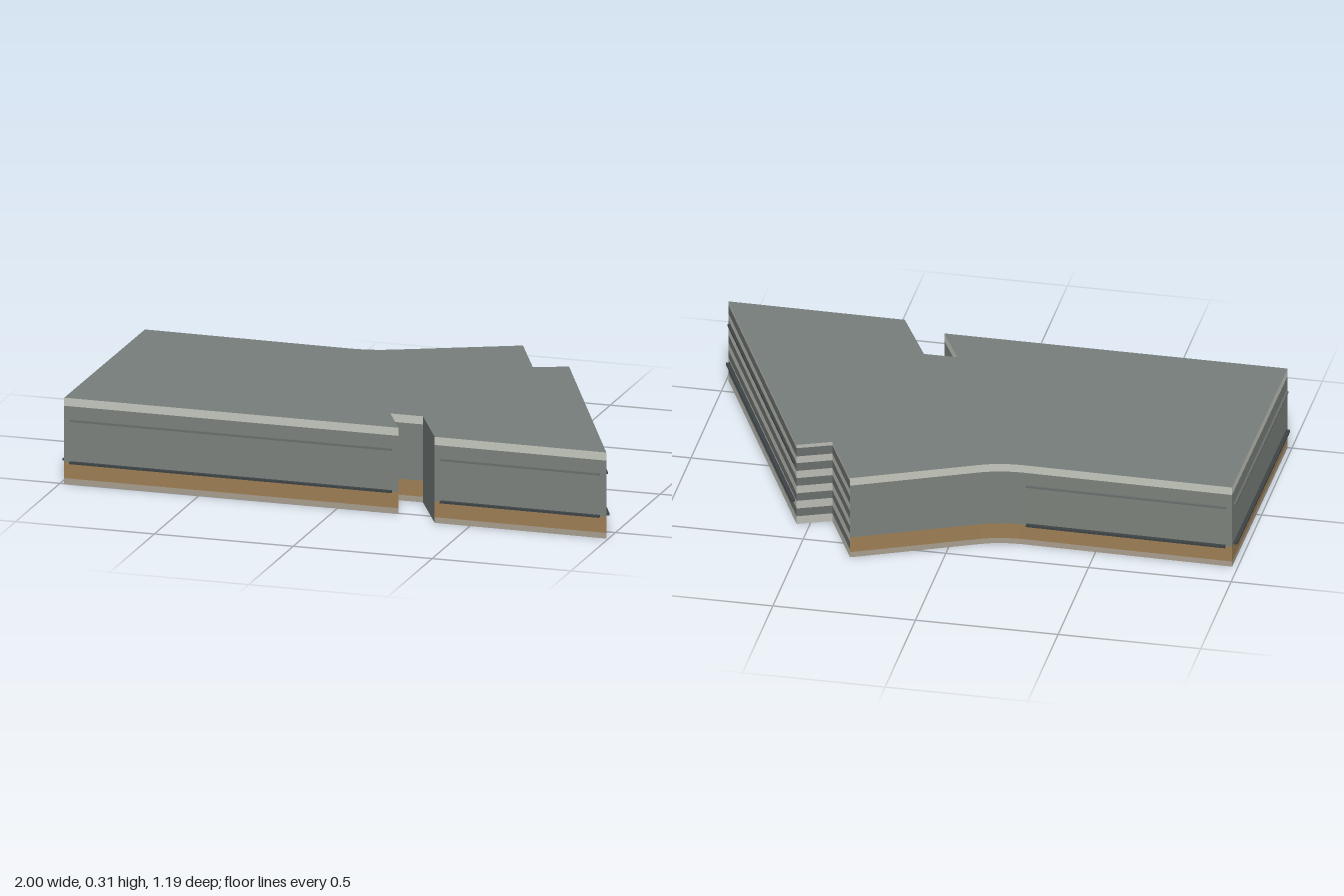
import * as THREE from 'three';

const mat = (name, color, side = THREE.FrontSide) => {
  const m = new THREE.MeshStandardMaterial({ color, side });
  m.name = name;
  return m;
};

export function createModel() {
  const roofGrey = mat('roof grey', 0x767c79);
  const wallGrey = mat('wall grey', 0x7b807b);
  const darkGrey = mat('dark grey', 0x686d6b);
  const paleStone = mat('pale stone', 0xc3c6bc);
  const stripePale = mat('stripe pale', 0xb8bab1);
  const plinthStone = mat('plinth stone', 0xa79d8e);
  const timber = mat('timber', 0x9c7d54);
  const ledgeDark = mat('ledge dark', 0x3c4245);

  const group = new THREE.Group();
  const H = 0.307;

  // Footprint as [x, z, style of the wall starting here], anticlockwise from above
  const plan = [
    [-0.985, 0.5, 'plain'], [0.22, 0.506, 'plain'], [0.14, 0.345, 'plain'],
    [0.257, 0.345, 'dark'], [0.373, 0.575, 'plain'], [0.993, 0.581, 'striped'],
    [0.545, -0.397, 'striped'], [0.43, -0.35, 'striped'], [0.315, -0.597, 'plain'],
    [-0.1, -0.409, 'plain'], [-0.14, -0.394, 'plain'], [-0.185, -0.384, 'plain'],
    [-0.235, -0.38, 'plain'], [-0.98, -0.391, 'plain'],
  ];

  // Horizontal wall bands as [bottom, top, material]
  const bands = {
    plain: [[0, 0.02, plinthStone], [0.02, 0.077, timber], [0.077, 0.278, wallGrey], [0.278, H, paleStone]],
    dark: [[0, H, darkGrey]],
    striped: [],
  };
  const levels = [0, 0.03, 0.06, 0.09, 0.119, 0.148, 0.178, 0.206, 0.236, 0.262, 0.294, H];
  for (let i = 0; i < levels.length - 1; i++) {
    bands.striped.push([levels[i], levels[i + 1], i % 2 ? darkGrey : stripePale]);
  }

  const wallFrame = (i) => {
    const [x0, z0] = plan[i];
    const [x1, z1] = plan[(i + 1) % plan.length];
    const g = new THREE.Group();
    g.position.set((x0 + x1) / 2, 0, (z0 + z1) / 2);
    g.rotation.y = Math.atan2(z0 - z1, x1 - x0);
    g.userData.length = Math.hypot(x1 - x0, z1 - z0);
    group.add(g);
    return g;
  };

  const walls = plan.map(([, , style], i) => {
    const wall = wallFrame(i);
    wall.name = style + 'Wall' + i;
    for (const [y0, y1, material] of bands[style]) {
      const band = new THREE.Mesh(new THREE.PlaneGeometry(wall.userData.length, y1 - y0), material);
      band.position.y = (y0 + y1) / 2;
      band.name = 'wallBand';
      wall.add(band);
    }
    return wall;
  });

  // Thin ledges standing out from the long walls
  const addLedge = (wall, y, depth, material) => {
    const ledge = new THREE.Mesh(
      new THREE.BoxGeometry(wall.userData.length - 0.045, 0.007, depth), material);
    ledge.position.set(0, y, depth / 2);
    ledge.name = 'ledge';
    wall.add(ledge);
  };
  for (const i of [0, 4, 5, 12, 13]) {
    addLedge(walls[i], 0.079, 0.014, ledgeDark);
    addLedge(walls[i], 0.228, 0.008, i === 5 ? ledgeDark : darkGrey);
  }

  // Roof and underside
  const outline = new THREE.Shape(plan.map(([x, z]) => new THREE.Vector2(x, -z)));
  const roof = new THREE.Mesh(new THREE.ShapeGeometry(outline), roofGrey);
  roof.rotation.x = -Math.PI / 2;
  roof.position.y = H;
  roof.name = 'roof';
  const mirrored = new THREE.Shape(plan.map(([x, z]) => new THREE.Vector2(x, z)));
  const underside = new THREE.Mesh(new THREE.ShapeGeometry(mirrored), roofGrey);
  underside.rotation.x = Math.PI / 2;
  underside.name = 'underside';
  group.add(roof, underside);

  group.name = 'building';
  return group;
}
